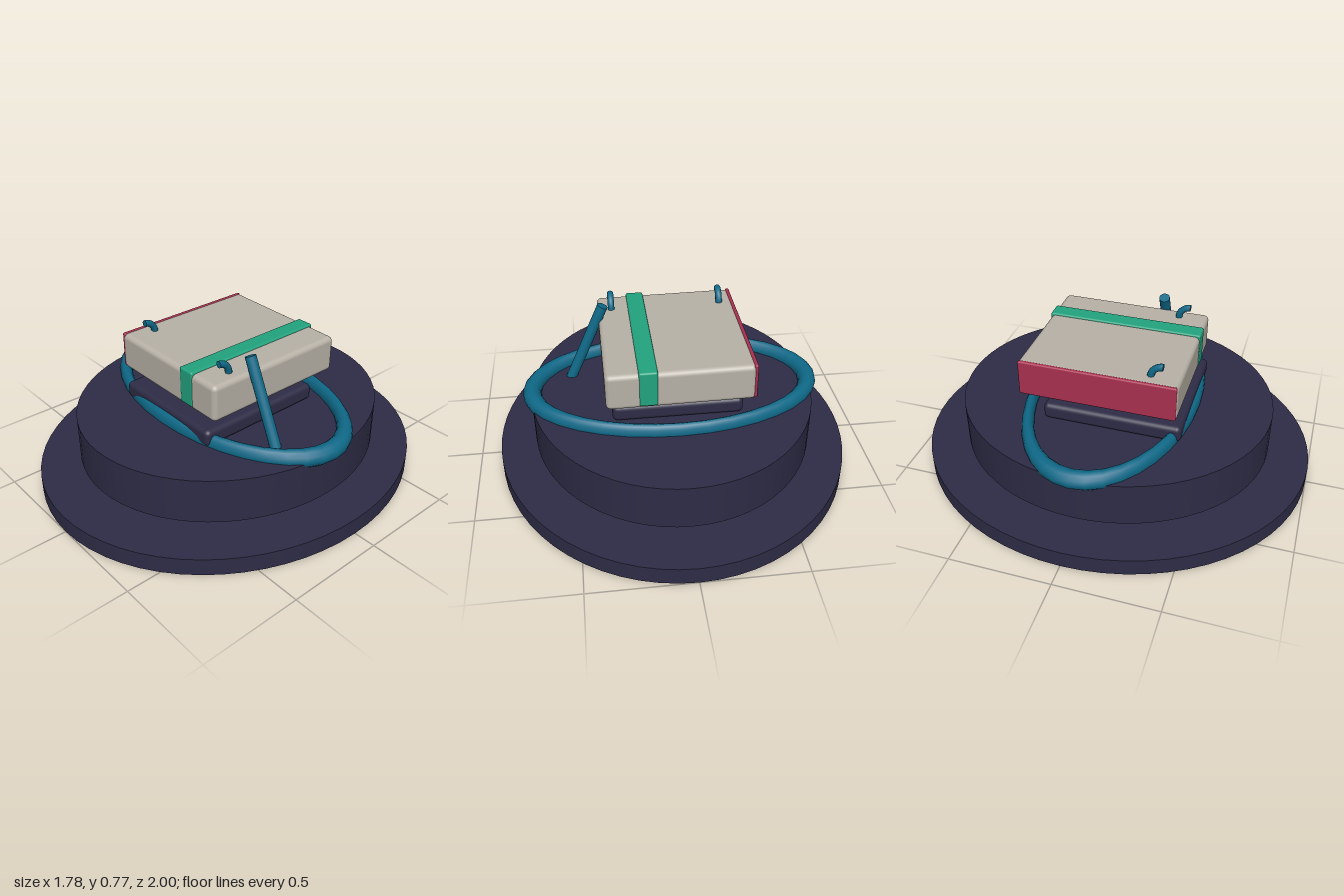
import * as THREE from 'three';
import { RoundedBoxGeometry } from 'three/addons/geometries/RoundedBoxGeometry.js';

const paint = (name, color) => {
  const m = new THREE.MeshStandardMaterial({ color });
  m.name = name;
  return m;
};

export function createModel() {
  const model = new THREE.Group();
  const navy = paint('dark navy', 0x2e2c46);
  const beige = paint('warm beige', 0xb8b2a7);
  const teal = paint('deep teal', 0x0f6a89);
  const green = paint('strap green', 0x22a37f);
  const crimson = paint('crimson', 0xa8304f);

  const add = (name, geometry, material, x = 0, y = 0, z = 0, parent = model) => {
    const mesh = new THREE.Mesh(geometry, material);
    mesh.name = name;
    mesh.position.set(x, y, z);
    parent.add(mesh);
    return mesh;
  };

  // Two stacked oval plinths with a small gap between them
  const disc = (name, rx, rz, y0, y1) =>
    add(name, new THREE.CylinderGeometry(1, 1, y1 - y0, 64), navy, 0, (y0 + y1) / 2).scale.set(rx, 1, rz);
  disc('lowerPlinth', 0.89, 1, 0, 0.087);
  disc('upperPlinth', 0.708, 0.792, 0.13, 0.357);

  // Oval ring lying on the upper plinth
  const ringGeometry = new THREE.TorusGeometry(0.705, 0.046, 12, 36).rotateX(Math.PI / 2);
  add('ring', ringGeometry, teal, 0, 0.367, 0).scale.z = 0.572;

  // Tray under the block
  add('tray', new RoundedBoxGeometry(0.635, 0.085, 0.685, 3, 0.025), navy, -0.002, 0.398, 0.06);

  // Floating block, tipped very slightly sideways
  const block = new THREE.Group();
  block.name = 'block';
  block.position.set(-0.003, 0.595, 0);
  block.rotation.z = -0.01;
  model.add(block);
  add('blockBody', new RoundedBoxGeometry(0.702, 0.185, 0.772, 4, 0.025), beige, 0, 0, 0, block);
  add('spine', new RoundedBoxGeometry(0.02, 0.18, 0.764, 3, 0.008), crimson, -0.345, 0.004, 0, block);

  // Strap over the block
  add('strap', new RoundedBoxGeometry(0.088, 0.182, 0.78, 3, 0.01), green, 0.15, 0.605, 0);

  // Slanted ribbon below the block
  const ribbon = add('ribbon', new THREE.BoxGeometry(0.045, 0.13, 0.018), crimson, 0.197, 0.472, 0.225);
  ribbon.rotation.z = 0.28;

  // Slanted rod standing inside the ring
  const top = new THREE.Vector3(0.325, 0.755, 0.152);
  const foot = new THREE.Vector3(0.507, 0.345, 0.152);
  const rod = add('rod', new THREE.CylinderGeometry(0.027, 0.027, top.distanceTo(foot), 16), teal);
  rod.position.copy(top).add(foot).multiplyScalar(0.5);
  rod.quaternion.setFromUnitVectors(new THREE.Vector3(0, 1, 0), top.clone().sub(foot).normalize());

  // Pair of small forward-curling hooks with flat ends
  for (const side of [-1, 1]) {
    const hook = new THREE.Group();
    hook.name = side < 0 ? 'rightHook' : 'leftHook';
    hook.position.set(side * 0.279, 0.685, 0.3);
    model.add(hook);
    const bend = new THREE.TorusGeometry(0.058, 0.017, 10, 10, Math.PI / 2);
    add('hookBend', bend.rotateY(Math.PI / 2), teal, 0, 0, 0, hook);
    add('hookEnd', new THREE.CircleGeometry(0.017, 10), teal, 0, 0.058, 0, hook);
  }
  return model;
}
